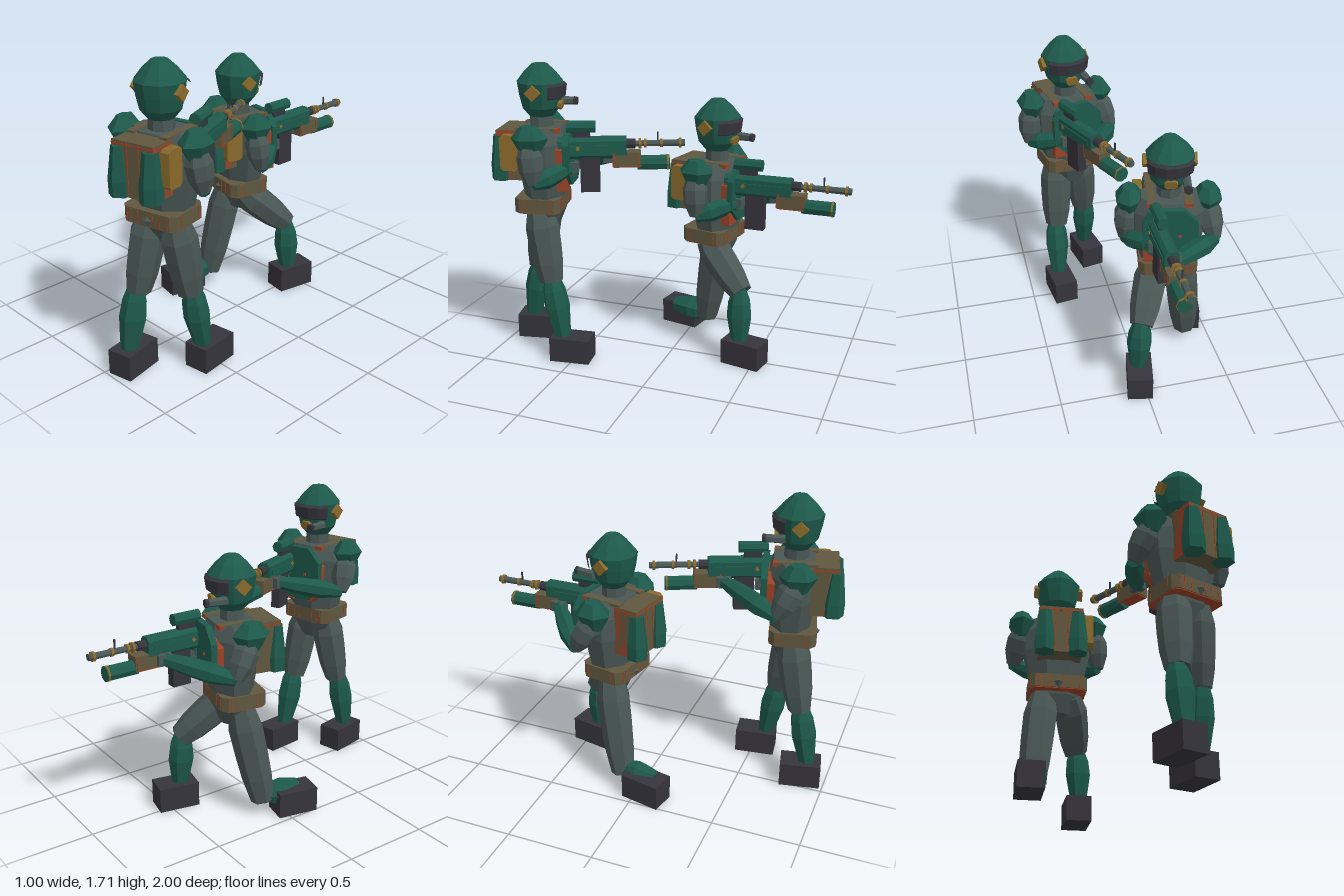
import * as THREE from 'three';

const mat = (name, color) => Object.assign(new THREE.MeshStandardMaterial({ color }), { name });
const green = mat('green armour', 0x1d594b);
const grey = mat('grey cloth', 0x495755);
const dark = mat('dark rubber', 0x36343c);
const brown = mat('brown webbing', 0x5f573e);
const gold = mat('gold fitting', 0x8a6a2c);
const red = mat('rust trim', 0x9a4226);

// faceted mesh from any geometry
function part(parent, name, geo, material, pos = [0, 0, 0], rot = [0, 0, 0]) {
  const g = geo.index ? geo.toNonIndexed() : geo;
  g.computeVertexNormals();
  const m = new THREE.Mesh(g, material);
  m.name = name;
  m.position.set(...pos);
  m.rotation.set(...rot);
  parent.add(m);
  return m;
}
const box = (w, h, d) => new THREE.BoxGeometry(w, h, d);
const tube = (r0, r1, h, n = 8) => new THREE.CylinderGeometry(r0, r1, h, n);

// profile of [radius, y] pairs, bottom to top, with closed ends
function turned(profile, sides, start = 0) {
  const pts = profile.map(([r, y]) => new THREE.Vector2(r, y));
  pts.unshift(new THREE.Vector2(0, pts[0].y));
  pts.push(new THREE.Vector2(0, pts[pts.length - 1].y));
  return new THREE.LatheGeometry(pts, sides, start);
}

// faceted limb from a to b, radii spread evenly along it
function limb(parent, name, a, b, radii, material) {
  const p = new THREE.Vector3(...a), d = new THREE.Vector3(...b).sub(p);
  const len = d.length();
  const prof = radii.map((r, i) => [r, (len * i) / (radii.length - 1)]);
  const m = part(parent, name, turned(prof, 7), material, a);
  m.quaternion.setFromUnitVectors(new THREE.Vector3(0, 1, 0), d.normalize());
}

// slab with cut corners, lying in xy, centred in depth
function chamfered(w, h, c, depth) {
  const x = w / 2, y = h / 2, s = new THREE.Shape();
  s.moveTo(-x + c, -y);
  [[x - c, -y], [x, -y + c], [x, y - c], [x - c, y], [-x + c, y], [-x, y - c], [-x, -y + c]]
    .forEach(([u, v]) => s.lineTo(u, v));
  return new THREE.ExtrudeGeometry(s, { depth, bevelEnabled: false }).translate(0, 0, -depth / 2);
}

function buildHead(up) {
  const head = new THREE.Group();
  head.name = 'head';
  up.add(head);
  part(head, 'neck', tube(0.066, 0.07, 0.14), grey, [0, 1.17, 0]);
  part(head, 'helmet', turned([[0.068, 1.21], [0.108, 1.26], [0.124, 1.33], [0.134, 1.40],
    [0.09, 1.455], [0.042, 1.5]], 10), green);
  // wraparound visor
  part(head, 'visor', new THREE.LatheGeometry([[0.1, 1.305], [0.138, 1.32], [0.147, 1.385], [0.115, 1.41]]
    .map(([r, y]) => new THREE.Vector2(r, y)), 5, Math.PI - 1.05, 2.1), dark);
  part(head, 'mouthPlate', chamfered(0.07, 0.05, 0.015, 0.03), gold, [0, 1.275, -0.108], [-0.2, 0, 0]);
  for (const s of [-1, 1]) {
    part(head, 'earPlate', box(0.026, 0.062, 0.062), gold, [s * 0.132, 1.355, 0.01], [Math.PI / 4, 0, 0]);
  }
  // breathing unit at the cheek
  part(head, 'mouthpiece', tube(0.026, 0.022, 0.11, 6), grey, [-0.085, 1.28, -0.12], [Math.PI / 2, 0, 0]);
  part(head, 'mouthpieceCap', tube(0.024, 0.024, 0.02, 6), dark, [-0.085, 1.28, -0.178], [Math.PI / 2, 0, 0]);
}

function buildTorso(up) {
  const torso = new THREE.Group();
  torso.name = 'torso';
  up.add(torso);
  part(torso, 'body', turned([[0.09, 0.56], [0.15, 0.66], [0.165, 0.76], [0.205, 0.94], [0.205, 1.07],
    [0.165, 1.155]], 8, Math.PI / 8), grey, [0, 0, -0.01]).scale.z = 0.72;
  // belt with rust stripes and a rust underside
  part(torso, 'belt', chamfered(0.33, 0.26, 0.03, 0.08), brown, [0, 0.72, 0.01], [Math.PI / 2, 0, 0]);
  part(torso, 'beltUnderside', chamfered(0.32, 0.25, 0.03, 0.006), red, [0, 0.678, 0.01], [Math.PI / 2, 0, 0]);
  for (const x of [-0.125, -0.1, -0.06, 0.03, 0.075, 0.12]) {
    part(torso, 'beltStripe', box(0.006, 0.07, 0.264), red, [x, 0.72, 0.01]);
  }
  for (const z of [-0.07, 0.08]) {
    part(torso, 'beltSideStripe', box(0.334, 0.07, 0.006), red, [0, 0.72, z]);
  }
  part(torso, 'rearClasp', turned([[0.012, -0.03], [0.03, 0.005], [0.008, 0.02]], 5), grey, [0, 0.71, 0.13]);
  // chest armour on a rust backing
  part(torso, 'chestBacking', chamfered(0.28, 0.27, 0.05, 0.05), red, [0, 0.955, -0.13]);
  part(torso, 'chestPlate', chamfered(0.3, 0.32, 0.08, 0.035), green, [0, 0.99, -0.163]);
  part(torso, 'chestStud', tube(0.01, 0.01, 0.008, 6), red, [-0.05, 0.99, -0.183], [Math.PI / 2, 0, 0]);
  part(torso, 'chestPouch', box(0.09, 0.1, 0.05), red, [0.1, 0.86, -0.135]);
  for (const s of [-1, 1]) {
    part(torso, 'shoulderStrap', box(0.045, 0.016, 0.24), brown, [s * 0.1, 1.15, 0]);
    part(torso, 'strapBuckle', box(0.05, 0.022, 0.025), red, [s * 0.1, 1.147, -0.11]);
    // broad faceted pad, deeper than wide
    part(torso, 'shoulderPad', turned([[0.04, 1.03], [0.084, 1.125], [0.04, 1.19]], 6), green,
      [s * 0.215, 0, 0.015]).scale.z = 1.25;
  }
  buildPack(torso);
}

function buildPack(torso) {
  const pack = new THREE.Group();
  pack.name = 'backpack';
  torso.add(pack);
  part(pack, 'packBody', box(0.25, 0.285, 0.14), brown, [0, 1.003, 0.16]);
  for (const x of [-0.122, -0.035, 0.035, 0.122]) {
    part(pack, 'packStripe', box(0.006, 0.28, 0.146), red, [x, 1.003, 0.16]);
  }
  part(pack, 'packTopTrim', box(0.254, 0.01, 0.144), red, [0, 1.128, 0.16]);
  // tapered side pouches
  for (const s of [-1, 1]) {
    part(pack, 'packPouch', turned([[0.06, 0.86], [0.062, 0.94], [0.04, 1.115]], 6), green, [s * 0.095, 0, 0.215]);
  }
  part(pack, 'canteen', chamfered(0.1, 0.2, 0.015, 0.05), gold, [0.165, 1.03, 0.145], [0, Math.PI / 2, 0]);
}

function buildArms(up) {
  const arms = new THREE.Group();
  arms.name = 'arms';
  up.add(arms);
  const pairs = [
    ['support', [-0.205, 1.1, 0.02], [-0.255, 0.9, -0.085], [-0.01, 0.98, -0.39]],
    ['trigger', [0.215, 1.1, 0.02], [0.245, 0.87, 0.0], [0.09, 0.94, -0.18]],
  ];
  for (const [n, shoulder, elbow, hand] of pairs) {
    limb(arms, n + 'UpperArm', shoulder, elbow, [0.045, 0.074, 0.068, 0.035], grey);
    limb(arms, n + 'Forearm', elbow, hand, [0.032, 0.058, 0.052, 0.036], green);
    part(arms, n + 'Hand', box(0.06, 0.06, 0.08), grey, hand);
  }
}

function buildRifle(up) {
  const pivot = new THREE.Group();
  pivot.name = 'rifleAim';
  pivot.rotation.y = 0.2;
  up.add(pivot);
  const gun = new THREE.Group();
  gun.name = 'rifle';
  gun.position.x = 0.115;
  pivot.add(gun);
  const along = [Math.PI / 2, 0, 0];
  part(gun, 'receiver', chamfered(0.08, 0.12, 0.02, 0.38), green, [0, 1.047, -0.28]);
  part(gun, 'stock', box(0.05, 0.09, 0.14), green, [0, 1.04, -0.03]);
  part(gun, 'sideRail', box(0.092, 0.03, 0.28), green, [0, 1.05, -0.3]);
  part(gun, 'scope', tube(0.034, 0.034, 0.16), green, [0, 1.165, -0.22], along);
  part(gun, 'scopeMount', box(0.03, 0.05, 0.1), dark, [0, 1.12, -0.22]);
  part(gun, 'pistolGrip', box(0.04, 0.11, 0.05), green, [0, 0.95, -0.15], [-0.2, 0, 0]);
  part(gun, 'magazine', box(0.055, 0.2, 0.11), dark, [0, 0.895, -0.265]);
  for (const s of [-1, 1]) {
    part(gun, 'receiverStud', tube(0.012, 0.012, 0.008, 6), gold, [s * 0.047, 1.05, -0.2], [0, 0, Math.PI / 2]);
  }
  // barrel with gold collars
  part(gun, 'barrel', tube(0.016, 0.02, 0.34), grey, [0, 1.065, -0.626], along);
  part(gun, 'barrelShroud', tube(0.028, 0.028, 0.06), dark, [0, 1.065, -0.49], along);
  [[-0.545, 0.03], [-0.575, 0.026], [-0.665, 0.024], [-0.77, 0.028]].forEach(([z, r]) =>
    part(gun, 'barrelCollar', tube(r, r, 0.014), gold, [0, 1.065, z], along));
  part(gun, 'frontSight', box(0.008, 0.06, 0.008), dark, [0, 1.1, -0.645]);
  // launcher tube beneath the barrel
  part(gun, 'foregrip', box(0.08, 0.08, 0.16), brown, [0, 0.982, -0.47]);
  part(gun, 'foregripUnderside', box(0.074, 0.008, 0.15), red, [0, 0.94, -0.47]);
  for (const z of [-0.535, -0.4]) {
    part(gun, 'foregripStripe', box(0.084, 0.078, 0.008), red, [0, 0.982, z]);
  }
  part(gun, 'launcher', tube(0.042, 0.042, 0.18), green, [0, 0.955, -0.62], along);
  part(gun, 'launcherRim', tube(0.045, 0.045, 0.01), gold, [0, 0.955, -0.7], along);
}

function buildSoldier(name, x, lift, z, yaw, legs) {
  const soldier = new THREE.Group();
  soldier.name = name;
  const up = new THREE.Group();
  up.name = 'upperBody';
  up.position.set(x, lift, z);
  up.rotation.y = yaw;
  soldier.add(up);
  buildHead(up);
  buildTorso(up);
  buildArms(up);
  buildRifle(up);
  for (const l of legs) {
    limb(soldier, l.name + 'Thigh', l.hip, l.knee, [0.07, 0.098, 0.095, 0.088, 0.068], grey);
    limb(soldier, l.name + 'Shin', l.shinTop, l.ankle, [0.036, 0.066, 0.074, 0.06, 0.045], green);
    part(soldier, l.name + 'Boot', box(0.145, 0.145, 0.235), dark, [l.foot[0], 0.0725, l.foot[1]], [0, l.turn, 0]);
  }
  return soldier;
}

export function createModel() {
  const model = new THREE.Group();
  model.name = 'riflePair';
  model.add(buildSoldier('standingSoldier', 0.197, 0.21, 0.712, 0.22, [
    { name: 'rear', hip: [0.125, 0.9, 0.74], knee: [0.095, 0.47, 0.82], shinTop: [0.085, 0.52, 0.82],
      ankle: [0.08, 0.12, 0.89], foot: [0.072, 0.855], turn: 0.2 },
    { name: 'front', hip: [0.275, 0.9, 0.71], knee: [0.302, 0.47, 0.64], shinTop: [0.308, 0.52, 0.64],
      ankle: [0.317, 0.12, 0.57], foot: [0.31, 0.517], turn: 0.13 },
  ]));
  model.add(buildSoldier('kneelingSoldier', -0.195, 0, -0.2, -0.2, [
    { name: 'rear', hip: [-0.27, 0.69, -0.2], knee: [-0.35, 0.09, -0.1], shinTop: [-0.355, 0.11, -0.1],
      ankle: [-0.385, 0.12, 0.12], foot: [-0.415, 0.07], turn: -0.2 },
    { name: 'front', hip: [-0.13, 0.68, -0.17], knee: [0.005, 0.43, -0.42], shinTop: [0.01, 0.46, -0.41],
      ankle: [0.025, 0.12, -0.42], foot: [0.025, -0.45], turn: -0.2 },
  ]));
  return model;
}
